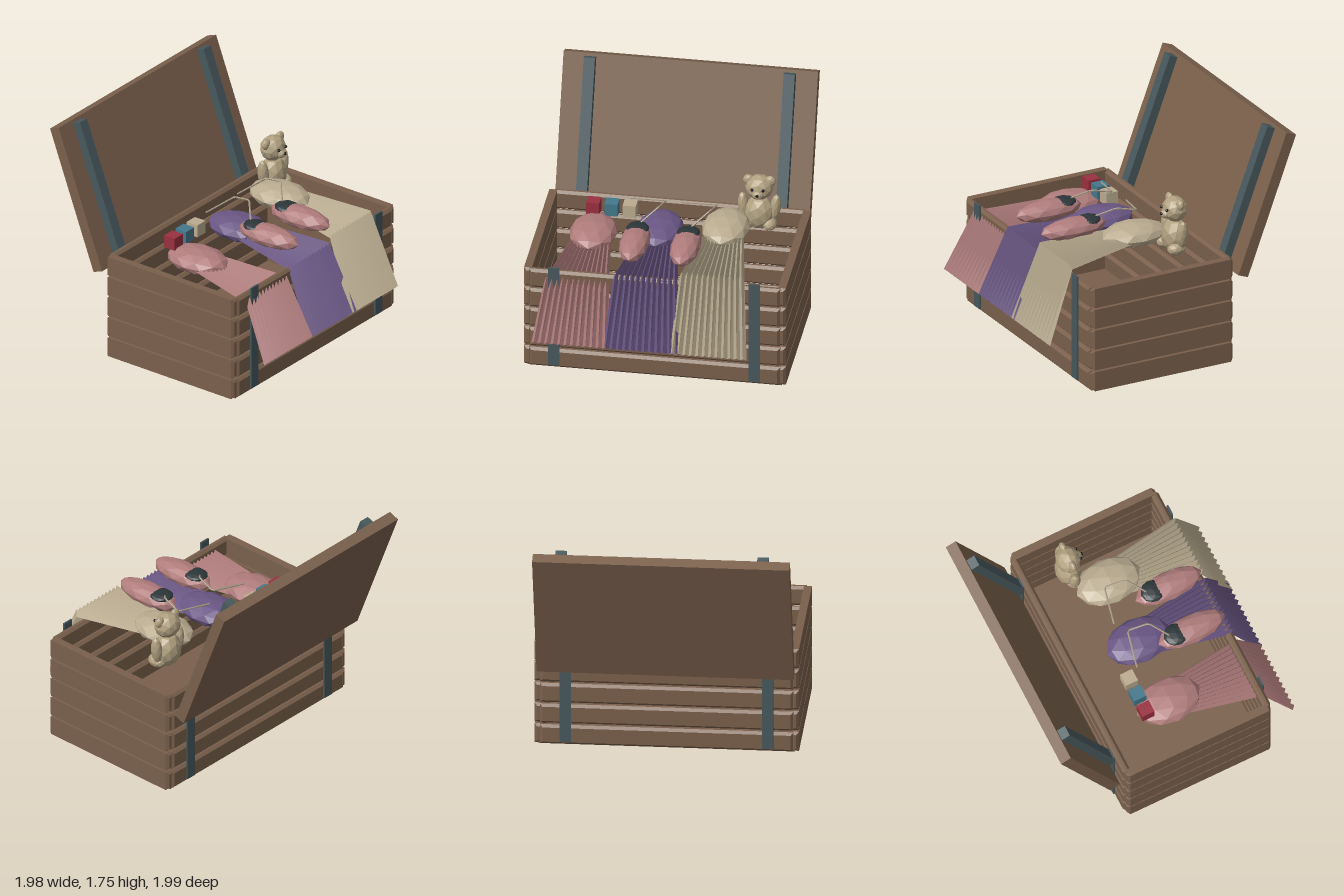
import * as THREE from 'three';

const mat = (color, side = THREE.FrontSide) =>
  new THREE.MeshStandardMaterial({ color, flatShading: true, side });

const WOOD = mat(0x7a604c), IRON = mat(0x47585c), DARK = mat(0x2c3538);
const PINK = 0xb07c7c, PURPLE = 0x6a5684, CREAM = 0xbaac90;
const BEAR = mat(0xb0a080), BLACK = mat(0x181818), SHOE = mat(PINK), RIBBON = mat(0xa89c88);

function add(parent, name, geometry, material, x = 0, y = 0, z = 0) {
  const mesh = new THREE.Mesh(geometry, material);
  mesh.name = name;
  mesh.position.set(x, y, z);
  parent.add(mesh);
  return mesh;
}

function group(parent, name) {
  const g = new THREE.Group();
  g.name = name;
  parent.add(g);
  return g;
}

const box = (w, h, d) => new THREE.BoxGeometry(w, h, d);

// Faceted ellipsoid
const blob = (rx, ry, rz, detail = 1) => new THREE.IcosahedronGeometry(1, detail).scale(rx, ry, rz);

// Box with a single chamfer on every edge
function chamferBox(w, h, d, b = 0.02) {
  const x = w / 2 - b, y = h / 2 - b;
  const shape = new THREE.Shape();
  shape.moveTo(-x, -y).lineTo(x, -y).lineTo(x, y).lineTo(-x, y).closePath();
  const g = new THREE.ExtrudeGeometry(shape, {
    depth: d - 2 * b, bevelEnabled: true, bevelSize: b, bevelThickness: b, bevelSegments: 1,
  });
  return g.translate(0, 0, b - d / 2);
}

// Pleated cloth: rows are [x, y, z, half width, fold y, fold z]
function pleats(rows, folds) {
  const n = folds * 2, pos = [], index = [];
  rows.forEach(([cx, y, z, half, fy, fz], r) => {
    for (let i = 0; i <= n; i++) {
      const s = i % 2 ? 1 : -1;
      pos.push(cx + half * (2 * i / n - 1), y + s * fy, z + s * fz);
      if (r && i < n) {
        const b = r * (n + 1) + i, a = b - n - 1;
        index.push(a, b, a + 1, b, b + 1, a + 1);
      }
    }
  });
  const g = new THREE.BufferGeometry();
  g.setAttribute('position', new THREE.Float32BufferAttribute(pos, 3));
  g.setIndex(index);
  g.computeVertexNormals();
  return g;
}

function buildCrate(root) {
  const crate = group(root, 'crate');
  add(crate, 'floor', box(1.92, 0.03, 1.19), WOOD, 0, 0.017, 0.155);
  for (let i = 0; i < 5; i++) {
    const y = 0.08 + i * 0.169;
    for (const z of [0.74, -0.43]) add(crate, 'longSlat', chamferBox(1.9, 0.155, 0.06), WOOD, 0, y, z);
    for (const s of [-1, 1]) add(crate, 'sideSlat', chamferBox(0.06, 0.155, 1.2), WOOD, s * 0.96, y, 0.155);
  }
  for (const s of [-1, 1]) {
    add(crate, 'frontStrap', box(0.085, 0.84, 0.014), IRON, s * 0.758, 0.45, 0.777);
    add(crate, 'backStrap', box(0.085, 0.78, 0.014), IRON, s * 0.758, 0.42, -0.466);
  }
}

function buildLid(root) {
  const lid = group(root, 'lid');
  lid.position.set(0, 1.2, -0.745);
  lid.rotation.x = -0.364;
  add(lid, 'lidBoard', box(1.925, 1.15, 0.087), WOOD);
  for (const s of [-1, 1]) add(lid, 'lidStrap', box(0.085, 1.12, 0.07), IRON, s * 0.756, -0.01, 0.078);
}

// Dress: faceted bodice with a pleated skirt hanging over the front
function buildDress(root, color, x, y, hemX) {
  const dress = group(root, 'dress');
  add(dress, 'bodice', blob(0.18, 0.09, 0.26), mat(color), x, y, 0.1);
  const edge = y - 0.04;
  add(dress, 'pleatedSkirt', pleats([
    [x, y + 0.005, 0.08, 0.13, 0.012, 0],
    [(x + hemX) / 2, edge, 0.768, 0.245, 0.024, 0.01],
    [hemX, 0.335, 0.988, 0.292, 0.012, 0.012],
  ], 12), mat(color, THREE.DoubleSide));
}

// Slipper with a dark opening and a loose bent ribbon
function buildSlipper(root, x) {
  const slipper = group(root, 'slipper');
  slipper.position.x = x;
  add(slipper, 'slipperBody', blob(0.113, 0.08, 0.275), SHOE, 0, 0.975, 0.48);
  add(slipper, 'slipperOpening', blob(0.088, 0.03, 0.095), DARK, 0, 1.02, 0.35);
  const points = [[0, 1.03, 0.31], [0.135, 1.125, 0.19], [0.165, 1.09, 0.03], [-0.115, 1.05, -0.03]]
    .map((p) => new THREE.Vector3(...p));
  const path = new THREE.CurvePath();
  for (let i = 0; i < 3; i++) path.add(new THREE.LineCurve3(points[i], points[i + 1]));
  add(slipper, 'ribbon', new THREE.TubeGeometry(path, 24, 0.007, 5, false), RIBBON);
}

function buildBear(root) {
  const bear = group(root, 'toyBear');
  bear.position.set(0.647, 0, -0.13);
  add(bear, 'body', blob(0.115, 0.14, 0.1), BEAR, 0, 0.965, 0);
  add(bear, 'head', blob(0.108, 0.1, 0.095), BEAR, 0, 1.18, 0);
  add(bear, 'muzzle', blob(0.045, 0.037, 0.04), BEAR, 0, 1.155, 0.075);
  add(bear, 'nose', blob(0.015, 0.012, 0.012, 0), BLACK, 0, 1.162, 0.113);
  for (const s of [-1, 1]) {
    add(bear, 'ear', blob(0.043, 0.043, 0.028), BEAR, s * 0.082, 1.237, 0);
    add(bear, 'eye', blob(0.013, 0.013, 0.013, 0), BLACK, s * 0.042, 1.198, 0.088);
    add(bear, 'arm', blob(0.042, 0.115, 0.045), BEAR, s * 0.12, 1.01, 0).rotation.z = -s * 0.1;
    add(bear, 'leg', blob(0.055, 0.05, 0.075), BEAR, s * 0.085, 0.89, 0.03);
  }
}

export function createModel() {
  const root = new THREE.Group();
  root.name = 'openCrateOfClothes';
  buildCrate(root);
  buildLid(root);
  buildDress(root, PINK, -0.57, 0.81, -0.605);
  buildDress(root, PURPLE, -0.068, 0.88, -0.065);
  buildDress(root, CREAM, 0.432, 0.945, 0.44);
  buildSlipper(root, -0.195);
  buildSlipper(root, 0.19);
  buildBear(root);
  // Three toy blocks
  [0x9a3040, 0x44788c, CREAM].forEach((color, i) =>
    add(root, 'toyBlock', box(0.1, 0.1, 0.1), mat(color), -0.602 + i * 0.138, 0.913, -0.105));
  return root;
}
